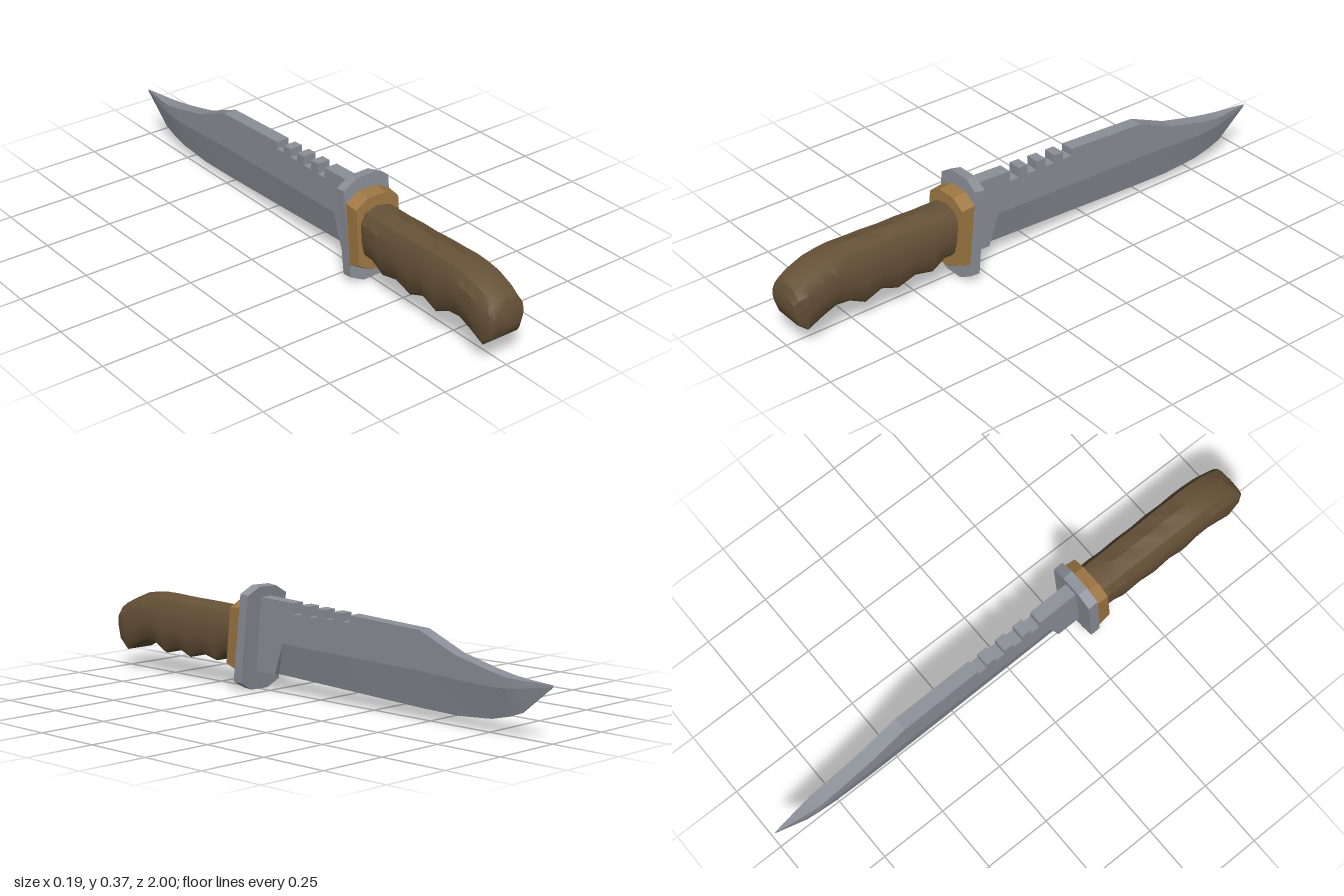
import * as THREE from 'three';
import { toCreasedNormals } from 'three/addons/utils/BufferGeometryUtils.js';

// Skin a list of rings (each counterclockwise seen from +z, ordered by rising z) and cap both ends.
function loft(rings, crease) {
  const n = rings[0].length, index = [];
  for (let i = 0; i < rings.length - 1; i++) {
    for (let j = 0; j < n; j++) {
      const k = (j + 1) % n;
      const a = i * n + j, b = i * n + k, c = b + n, d = a + n;
      index.push(a, b, c, a, c, d);
    }
  }
  const last = (rings.length - 1) * n;
  for (let j = 1; j < n - 1; j++) {
    index.push(0, j + 1, j);
    index.push(last, last + j, last + j + 1);
  }
  const geo = new THREE.BufferGeometry();
  geo.setAttribute('position', new THREE.Float32BufferAttribute(rings.flat(2), 3));
  geo.setIndex(index);
  return toCreasedNormals(geo, crease);
}

// Complete a right-hand half section (bottom to top) with its mirror image.
function mirrored(half) {
  const left = half.filter((p) => p[0] > 0).reverse().map(([x, y, z]) => [-x, y, z]);
  return [...half, ...left];
}

// Plate with clipped corners
function octagon(hw, hh, z) {
  return mirrored([[hw * 0.43, -hh, z], [hw, -hh + 0.028, z], [hw, hh - 0.028, z], [hw * 0.43, hh, z]]);
}

function createBlade() {
  const rings = [];
  // bottom, bevel line and top may each have their own z
  const add = (z, top, mid, bot, hw = 0.025, hb = 0.003, zMid = z, zBot = z) =>
    rings.push(mirrored([[Math.min(hb, hw), bot, zBot], [hw, mid, zMid], [hw, top, z]]));
  const spine = (z) => 0.32 + 0.045 * z;
  const bevel = (z) => 0.175 + 0.02 * z;
  const edge = (z) => 0.057 + 0.04 * z;

  // clipped point
  add(-1, 0.184, 0.181, 0.178, 0.001);
  add(-0.88, 0.187, 0.16, 0.08, 0.019);
  add(-0.83, 0.191, 0.155, 0.062);
  add(-0.76, 0.204, 0.152, 0.045);
  add(-0.62, 0.237, 0.157, 0.035);
  add(-0.47, spine(-0.47), bevel(-0.47), edge(-0.47));

  // saw notches in the spine
  for (let i = 0; i < 4; i++) {
    const z0 = -0.157 + i * 0.0765, z1 = z0 + 0.038;
    for (const [z, cut] of [[z0, false], [z0, true], [z1, true], [z1, false]]) {
      add(z, cut ? 0.287 : spine(z), bevel(z), edge(z));
    }
  }

  // slanted step up to the full-thickness base
  for (const hb of [0.003, 0.025]) add(0.15, spine(0.15), 0.18, 0.065, 0.025, hb, 0.16, 0.2);
  add(0.3, spine(0.28), 0.18, 0.068, 0.025, 0.025);
  return loft(rings, 0.12);
}

function createHandle() {
  // z, top, bottom, half width; the bottom waves form the finger grooves
  const stations = [
    [0.34, 0.284, 0.12, 0.072], [0.41, 0.286, 0.119, 0.073], [0.46, 0.288, 0.088, 0.073],
    [0.53, 0.29, 0.104, 0.074], [0.6, 0.291, 0.083, 0.074], [0.665, 0.293, 0.108, 0.075],
    [0.73, 0.296, 0.083, 0.075], [0.79, 0.296, 0.114, 0.075], [0.84, 0.291, 0.119, 0.075],
    [0.89, 0.283, 0.1, 0.075], [0.95, 0.26, 0.07, 0.073], [0.985, 0.235, 0.1, 0.069],
    [1, 0.2, 0.14, 0.06],
  ];
  // fraction of half width, fraction of height
  const section = [[0.78, 0], [0.9, 0.07], [1, 0.35], [1, 0.72], [0.72, 0.92], [0, 1]];
  const rings = stations.map(([z, top, bot, hw]) =>
    mirrored(section.map(([u, v]) => [u * hw, bot + v * (top - bot), z])));
  return loft(rings, 0.55);
}

export function createModel() {
  const steel = new THREE.MeshStandardMaterial({ color: 0x8c9098 });
  steel.name = 'steel grey';
  const brass = new THREE.MeshStandardMaterial({ color: 0x9e7743 });
  brass.name = 'brass';
  const wood = new THREE.MeshStandardMaterial({ color: 0x675238 });
  wood.name = 'dark brown wood';

  const model = new THREE.Group();
  model.name = 'knife';
  const add = (name, geometry, material) => {
    const mesh = new THREE.Mesh(geometry, material);
    mesh.name = name;
    model.add(mesh);
    return mesh;
  };

  add('blade', createBlade(), steel);
  add('handle', createHandle(), wood);

  // hand guard, leaning slightly
  const guard = add('guard', loft([octagon(0.092, 0.184, -0.019), octagon(0.092, 0.184, 0.019)], 0.2), steel);
  guard.position.set(0, 0.186, 0.3);
  guard.rotation.set(-0.1, 0, 0.02);

  // collar between guard and handle, narrowing toward the handle
  const collar = add('collar', loft([octagon(0.09, 0.14, -0.027), octagon(0.088, 0.128, 0.026)], 0.2), brass);
  collar.position.set(0, 0.189, 0.342);
  collar.rotation.x = -0.1;

  return model;
}
